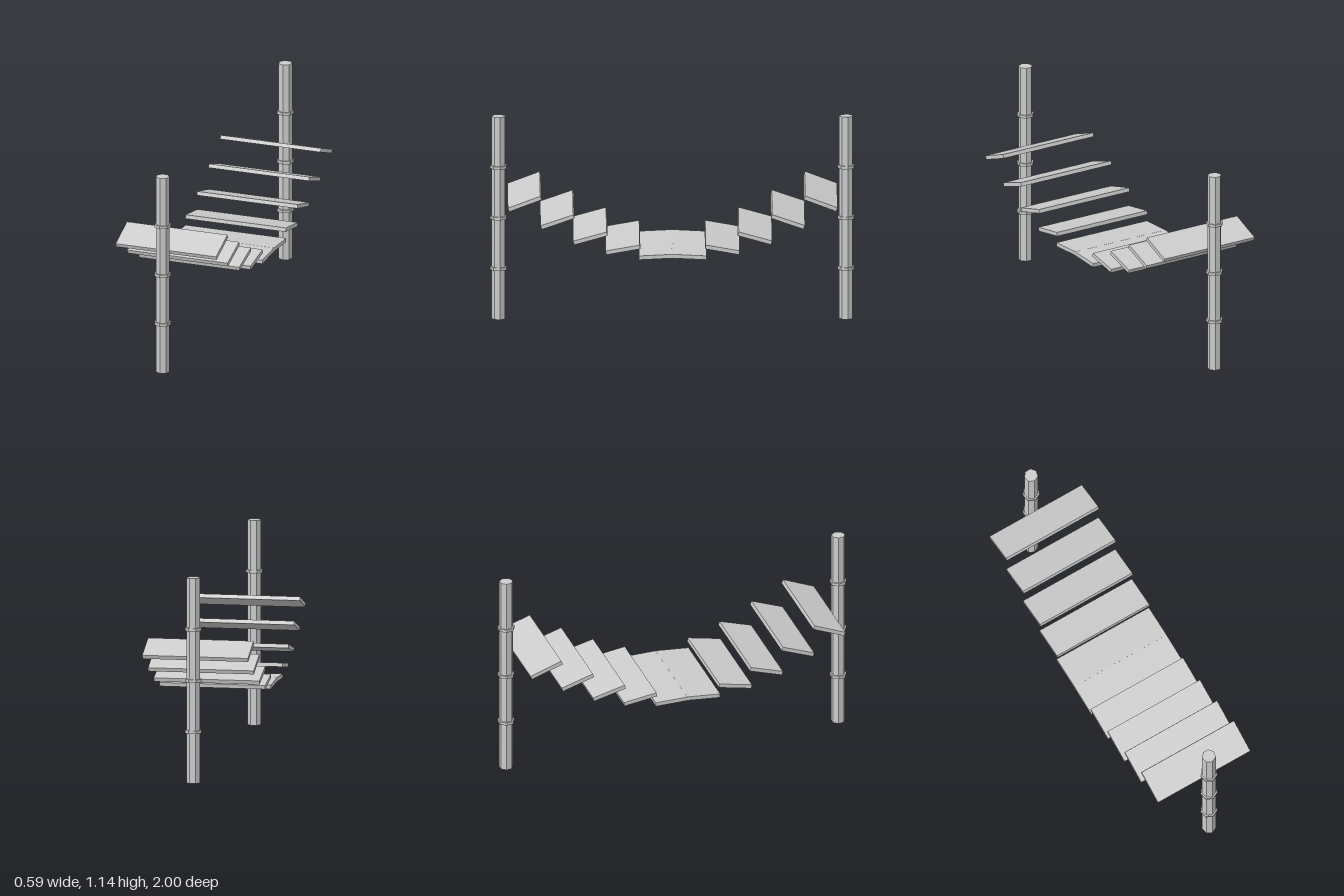
import * as THREE from 'three';

export function createModel() {
  const model = new THREE.Group();
  model.name = 'hangingPlankBridge';
  const grey = new THREE.MeshStandardMaterial({ color: 0xcccccc, flatShading: true });
  grey.name = 'plain grey';

  const SIDES = 7, POST_HEIGHT = 1.143, POST_Z = 0.955;
  const postShape = new THREE.CylinderGeometry(0.0385, 0.0385, POST_HEIGHT, SIDES);
  const collarShape = new THREE.CylinderGeometry(0.0475, 0.0475, 0.016, SIDES);
  const plankShape = new THREE.BoxGeometry(0.59, 0.022, 0.19);

  function add(parent, geometry, name, y, z = 0, tilt = 0) {
    const mesh = new THREE.Mesh(geometry, grey);
    mesh.name = name;
    mesh.position.set(0, y, z);
    mesh.rotation.x = tilt;
    parent.add(mesh);
  }

  // Planks from the middle outwards: height, distance, tilt in degrees
  const planks = [
    [0.4155, 0.09, 2.8],
    [0.456, 0.273, 10],
    [0.521, 0.452, 15.6],
    [0.6135, 0.633, 19],
    [0.716, 0.813, 20.7],
  ];

  for (const side of [1, -1]) {
    const end = side > 0 ? 'front' : 'back';

    // Post with three collars at its quarter heights
    const post = new THREE.Group();
    post.name = end + 'Post';
    post.position.z = side * POST_Z;
    add(post, postShape, 'pole', POST_HEIGHT / 2);
    for (let i = 1; i <= 3; i++) add(post, collarShape, 'collar' + i, (POST_HEIGHT * i) / 4);
    model.add(post);

    // Each plank's outer edge dips below its inner edge
    planks.forEach(([y, z, degrees], i) => {
      add(model, plankShape, `${end}Plank${i + 1}`, y, side * z, side * THREE.MathUtils.degToRad(degrees));
    });
  }

  // Centre the odd-sided posts
  for (const part of model.children) part.position.z -= 0.0024;
  return model;
}
